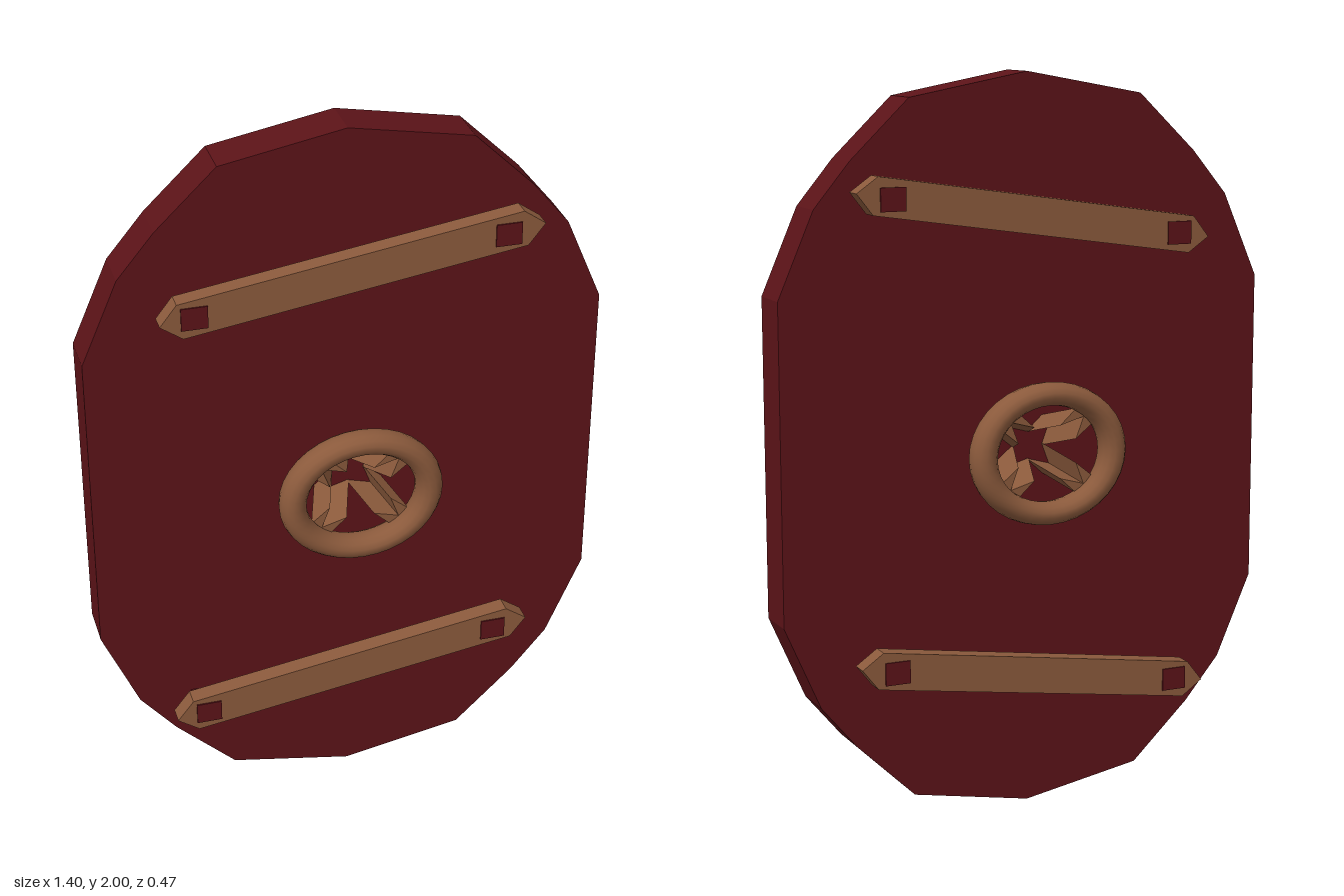
import * as THREE from 'three';

const red = new THREE.MeshStandardMaterial({ color: 0x5c1318, flatShading: true });
const wood = new THREE.MeshStandardMaterial({ color: 0x8b5a3c, flatShading: true });
const smoothWood = new THREE.MeshStandardMaterial({ color: 0x8b5a3c });

// Flat plate from an outline, centred in depth
function plate(points, depth) {
  const shape = new THREE.Shape(points.map(([x, y]) => new THREE.Vector2(x, y)));
  return new THREE.ExtrudeGeometry(shape, { depth, bevelEnabled: false }).translate(0, 0, -depth / 2);
}

function add(parent, name, geometry, material, x = 0, y = 0, z = 0) {
  const mesh = new THREE.Mesh(geometry, material);
  mesh.name = name;
  mesh.position.set(x, y, z);
  parent.add(mesh);
  return mesh;
}

// Handwheel facing +z: oval rim on four splayed, notched spokes
function makeWheel(name) {
  const wheel = new THREE.Group();
  wheel.name = name;
  const rim = new THREE.TorusGeometry(0.161, 0.0315, 14, 36);
  rim.scale(1, 1, 1.35);
  add(wheel, 'rim', rim, smoothWood, 0, 0, 0.195);

  const depth = 0.135;
  const spoke = plate([[0.02, 0.028], [0.075, 0], [0.02, -0.028], [0.08, -0.03], [0.08, 0.03]].reverse(), depth);
  const p = spoke.attributes.position;
  // lean each spoke outwards towards the rim
  for (let i = 0; i < p.count; i++) {
    p.setX(i, p.getX(i) + 0.4 * (p.getZ(i) + depth / 2));
  }
  spoke.computeVertexNormals();
  for (let k = 0; k < 4; k++) {
    add(wheel, 'spoke', spoke, wood, 0, 0, 0.055 + depth / 2).rotation.z = Math.PI / 4 + k * Math.PI / 2;
  }
  wheel.scale.x = 1.17;
  wheel.position.y = 1.003;
  return wheel;
}

export function createModel() {
  const model = new THREE.Group();
  model.name = 'hatchDoor';

  // Door panel: upper right quarter outline mirrored to all four
  const quarter = [[0.7, 1.43], [0.6, 1.66], [0.5, 1.78], [0.335, 1.938]];
  const right = [...quarter.map(([x, y]) => [x, 2 - y]).reverse(), ...quarter];
  const left = right.map(([x, y]) => [-x, y]).reverse();
  add(model, 'doorPanel', plate([[0, 0], ...right, [0, 2], ...left], 0.126), red);

  // Slanted bars with pointed ends on both faces
  const bar = plate([
    [-0.515, 0], [-0.462, -0.05], [0.462, -0.05],
    [0.515, 0], [0.462, 0.05], [-0.462, 0.05],
  ], 0.05);
  const peg = new THREE.BoxGeometry(0.07, 0.062, 0.276);
  for (const y of [0.376, 1.627]) {
    for (const side of [1, -1]) {
      add(model, 'crossBar', bar, wood, 0, y, side * 0.109).rotation.z = 0.148;
    }
    // Square pegs run through the panel and both bars
    add(model, 'peg', peg, red, -0.42, y - 0.062, 0);
    add(model, 'peg', peg, red, 0.41, y + 0.058, 0);
  }

  // A wheel on each face
  const back = makeWheel('backWheel');
  back.rotation.y = Math.PI;
  model.add(makeWheel('frontWheel'), back);

  return model;
}
